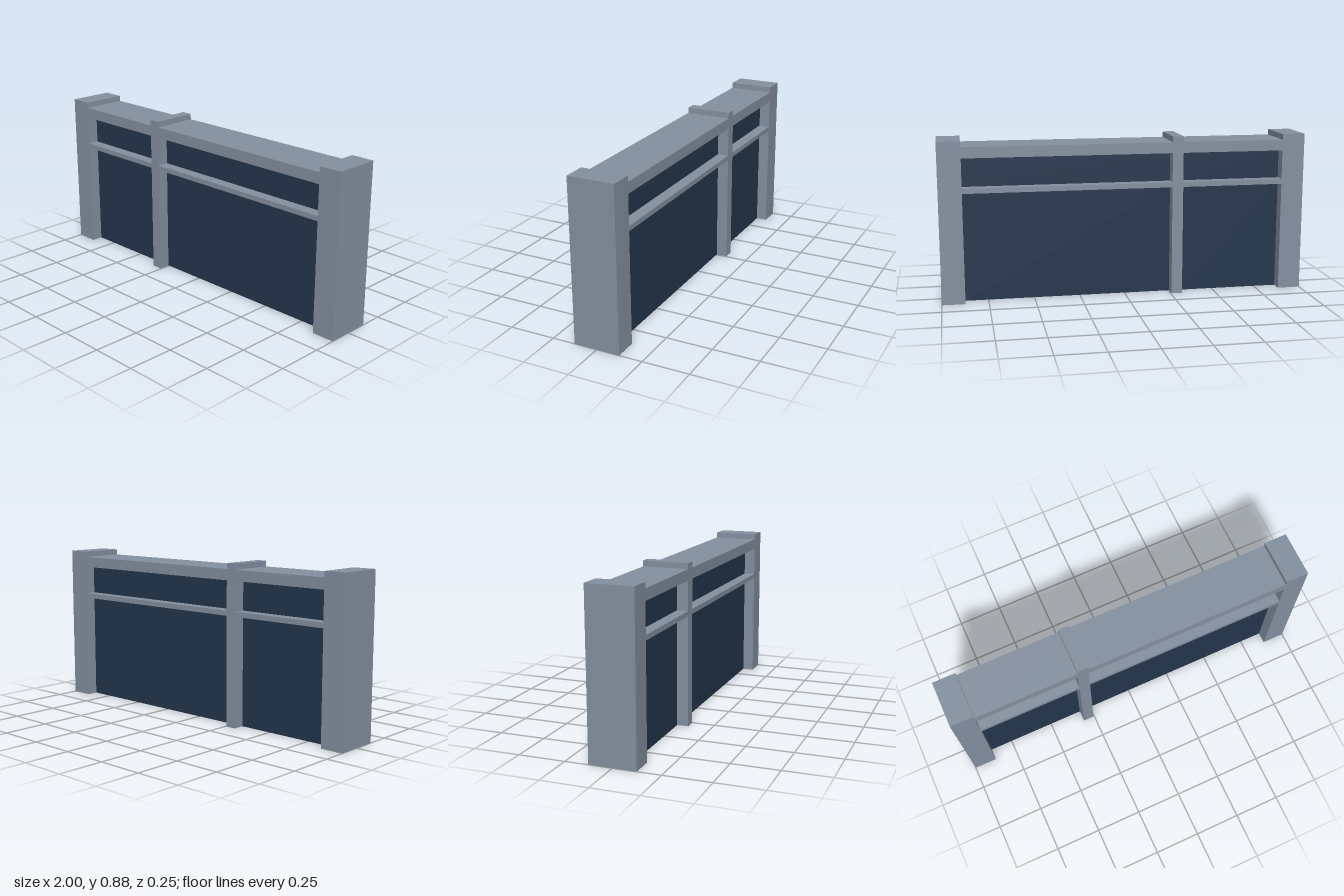
import * as THREE from 'three';

export function createModel() {
  const model = new THREE.Group();
  const frame = new THREE.MeshStandardMaterial({ color: 0x8490a0 });
  frame.name = 'slate grey frame';
  const glass = new THREE.MeshStandardMaterial({ color: 0x23364c });
  glass.name = 'dark blue glass';

  const DEPTH = 0.25, GLASS_DEPTH = 0.125;

  // Box given by its x and y extents, centred on z
  function addBox(name, x0, x1, y0, y1, depth, material) {
    const mesh = new THREE.Mesh(new THREE.BoxGeometry(x1 - x0, y1 - y0, depth), material);
    mesh.position.set((x0 + x1) / 2, (y0 + y1) / 2, 0);
    mesh.name = name;
    model.add(mesh);
  }

  // Upright posts, standing slightly above the top beam
  addBox('rightPost', -1, -0.875, 0, 0.875, DEPTH, frame);
  addBox('mullion', -0.315, -0.255, 0, 0.875, DEPTH, frame);
  addBox('leftPost', 0.875, 1, 0, 0.875, DEPTH, frame);

  // Beam, transom rail and recessed panes in each bay
  const bays = [['right', -0.875, -0.315], ['left', -0.255, 0.875]];
  for (const [side, x0, x1] of bays) {
    addBox(side + 'TopBeam', x0, x1, 0.785, 0.844, DEPTH, frame);
    addBox(side + 'TransomRail', x0, x1, 0.598, 0.625, DEPTH, frame);
    addBox(side + 'UpperPane', x0, x1, 0.625, 0.785, GLASS_DEPTH, glass);
    addBox(side + 'LowerPane', x0, x1, 0, 0.598, GLASS_DEPTH, glass);
  }
  return model;
}
